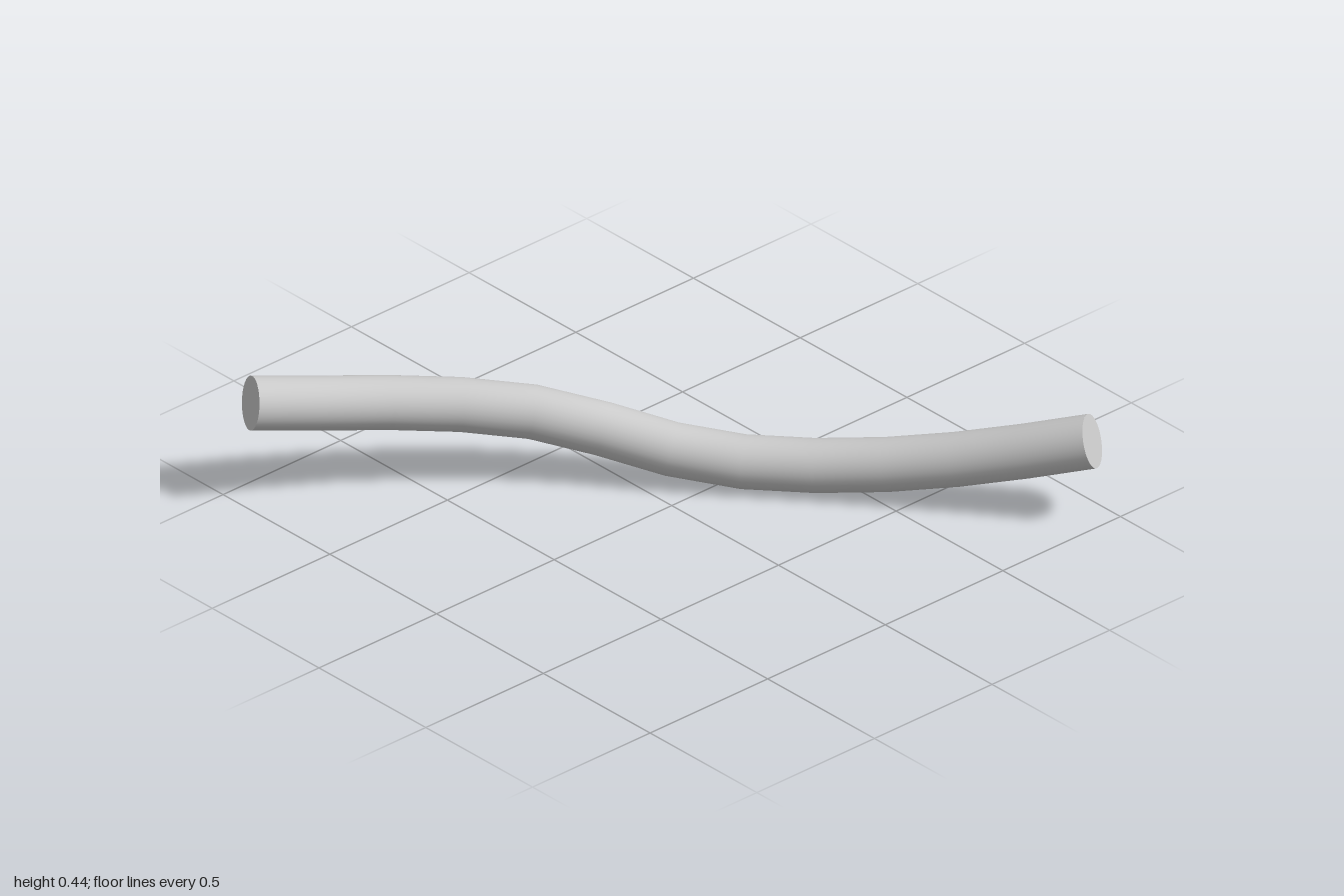
import * as THREE from 'three';

const RADIUS = 0.087;
const SIDES = 32;

export function createModel() {
  const group = new THREE.Group();
  group.name = 'bentRod';
  const material = new THREE.MeshStandardMaterial({ color: 0xcccccc });

  // Centre line, from the front right end to the back left end
  const path = new THREE.CatmullRomCurve3([
    [-0.92, 0.355, 0.955], [-0.82, 0.318, 0.75], [-0.69, 0.289, 0.53],
    [-0.545, 0.262, 0.33], [-0.395, 0.224, 0.155], [-0.23, 0.16, -0.005],
    [-0.08, 0.112, -0.13], [0.08, 0.089, -0.27], [0.26, 0.095, -0.425],
    [0.47, 0.13, -0.59], [0.7, 0.195, -0.76], [0.945, 0.283, -0.93],
  ].map((p) => new THREE.Vector3(...p)));

  // Round body
  const rod = new THREE.Mesh(new THREE.TubeGeometry(path, 12, RADIUS, SIDES), material);
  rod.name = 'rod';
  group.add(rod);

  // Flat end caps facing outwards along the centre line
  for (const [name, t, sign] of [['frontCap', 0, -1], ['backCap', 1, 1]]) {
    const cap = new THREE.Mesh(new THREE.CircleGeometry(RADIUS, SIDES), material);
    cap.name = name;
    cap.position.copy(path.getPointAt(t));
    const outward = path.getTangentAt(t).multiplyScalar(sign);
    cap.quaternion.setFromUnitVectors(new THREE.Vector3(0, 0, 1), outward);
    group.add(cap);
  }
  return group;
}
